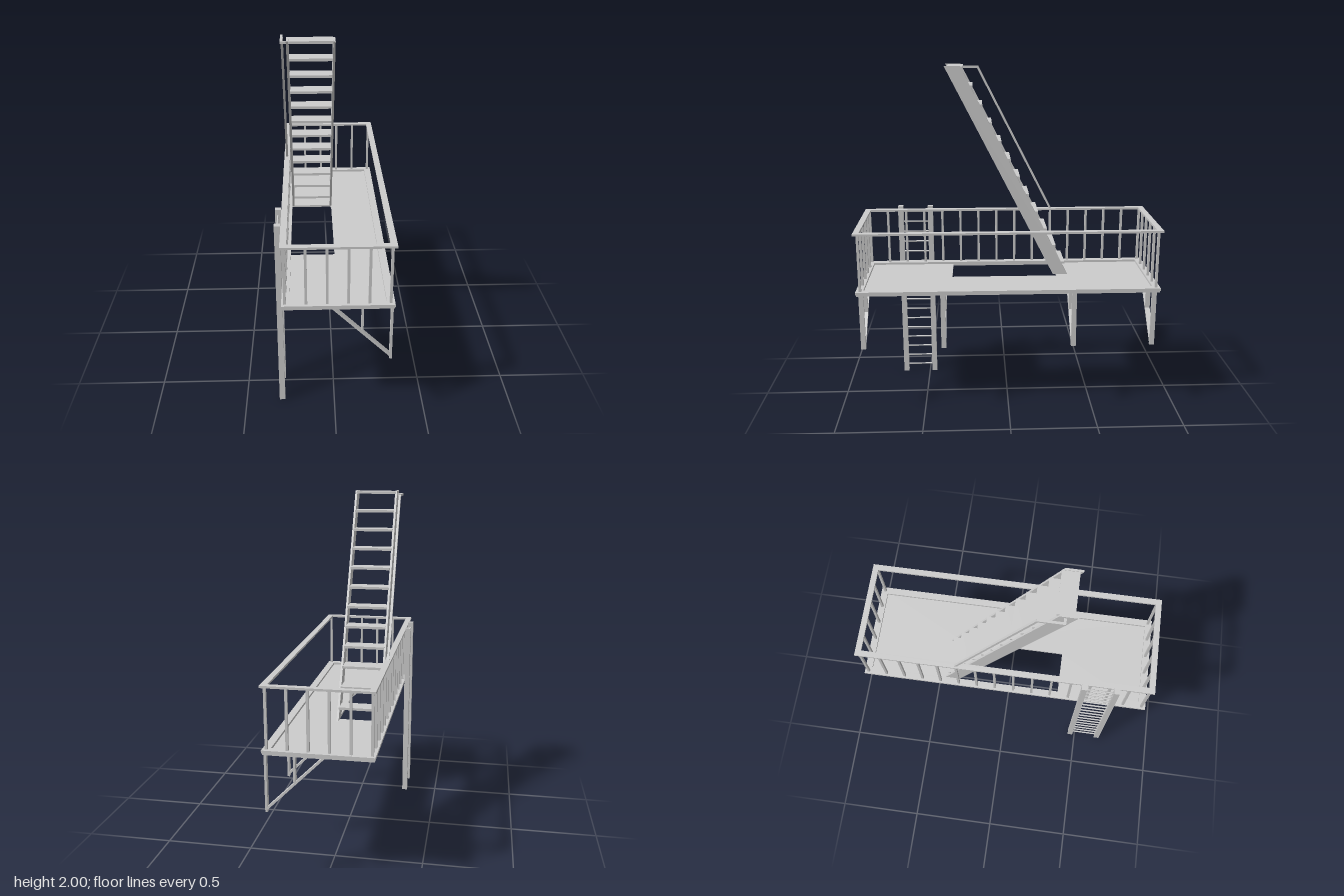
import * as THREE from 'three';

const material = new THREE.MeshStandardMaterial({ color: 0xcccccc });

function add(parent, name, geometry) {
  const mesh = new THREE.Mesh(geometry, material);
  mesh.name = name;
  parent.add(mesh);
  return mesh;
}

// Box given by its extents on each axis
function box(parent, name, [x0, x1], [y0, y1], [z0, z1]) {
  const mesh = add(parent, name, new THREE.BoxGeometry(x1 - x0, y1 - y0, z1 - z0));
  mesh.position.set((x0 + x1) / 2, (y0 + y1) / 2, (z0 + z1) / 2);
  return mesh;
}

// Straight bar between two points
function bar(parent, name, from, to, width, height) {
  const a = new THREE.Vector3(...from), b = new THREE.Vector3(...to);
  const mesh = add(parent, name, new THREE.BoxGeometry(width, height, a.distanceTo(b)));
  mesh.position.copy(a).add(b).multiplyScalar(0.5);
  mesh.lookAt(b);
  return mesh;
}

function group(parent, name) {
  const g = new THREE.Group();
  g.name = name;
  parent.add(g);
  return g;
}

const X0 = -0.28, X1 = 0.305, Z = 0.87;

// Rectangular ring of flat bars around the platform edge
function ring(parent, name, y, w) {
  box(parent, name, [X0, X0 + w], y, [-Z, Z]);
  box(parent, name, [X1 - w, X1], y, [-Z, Z]);
  for (const s of [-1, 1]) {
    const z = [s * Z, s * (Z - w)].sort((a, b) => a - b);
    box(parent, name, [X0 + w, X1 - w], y, z);
  }
}

function rectangle(target, x0, x1, y0, y1) {
  target.moveTo(x0, y0).lineTo(x1, y0).lineTo(x1, y1).lineTo(x0, y1).closePath();
  return target;
}

export function createModel() {
  const model = new THREE.Group();
  model.name = 'fireEscape';

  // Platform floor with the stairwell opening
  const platform = group(model, 'platform');
  const floor = rectangle(new THREE.Shape(), X0 + 0.004, X1 - 0.004, -Z + 0.004, Z - 0.004);
  floor.holes.push(rectangle(new THREE.Path(), -0.238, 0.012, -0.33, 0.3));
  const slab = new THREE.ExtrudeGeometry(floor, { depth: 0.012, bevelEnabled: false });
  add(platform, 'floor', slab.rotateX(-Math.PI / 2)).position.y = 0.745;
  ring(platform, 'floorFrame', [0.755, 0.77], 0.042);

  // Railing: top rail all round, balusters on three sides
  const railing = group(model, 'railing');
  ring(railing, 'topRail', [1.1, 1.112], 0.034);
  const baluster = (x, z) =>
    box(railing, 'baluster', [x - 0.007, x + 0.007], [0.765, 1.102], [z - 0.007, z + 0.007]);
  for (let i = 0; i < 16; i++) baluster(-0.262, -0.845 + i * 1.69 / 15);
  for (let i = 1; i < 6; i++)
    for (const z of [-0.845, 0.845]) baluster(-0.262 + i * 0.109, z);

  // Triangular wall brackets
  for (const z of [0.84, 0.378, -0.375, -0.835]) {
    const bracket = group(model, 'bracket');
    const depth = [z - 0.014, z + 0.014];
    box(bracket, 'bracketPost', [0.285, 0.298], [0.42, 0.745], depth);
    box(bracket, 'bracketTop', [-0.02, 0.298], [0.737, 0.746], depth);
    box(bracket, 'bracketStrut', [0.133, 0.145], [0.585, 0.745], depth);
    bar(bracket, 'bracketDiagonal', [-0.015, 0.742, z], [0.292, 0.435, z], 0.028, 0.012);
  }

  // Vertical access ladder
  const ladder = group(model, 'ladder');
  for (const z of [0.47, 0.655])
    box(ladder, 'ladderRail', [-0.313, -0.281], [0, 1.125], [z - 0.016, z + 0.016]);
  for (let i = 0; i < 17; i++) {
    const rung = add(ladder, 'rung', new THREE.CylinderGeometry(0.005, 0.005, 0.17, 8));
    rung.rotation.x = Math.PI / 2;
    rung.position.set(-0.297, 0.045 + i * 0.0653, 0.5625);
  }

  // Inclined stair: two stringers and twelve treads
  const stair = group(model, 'stair');
  const profile = new THREE.Shape();
  profile.moveTo(-0.365, 0.765).lineTo(-0.278, 0.765).lineTo(0.355, 2).lineTo(0.265, 2).closePath();
  for (const x of [-0.224, 0.014]) {
    const side = new THREE.ExtrudeGeometry(profile, { depth: 0.012, bevelEnabled: false });
    add(stair, 'stringer', side.rotateY(-Math.PI / 2)).position.x = x;
  }
  for (let i = 0; i < 12; i++) {
    const y = 0.835 + i * 0.105, z = -0.347 + i * 0.0542;
    box(stair, 'tread', [-0.226, 0.004], [y - 0.007, y + 0.007], [z, z + 0.09]);
  }

  // Stair handrail, returned to the stringer at the top
  const handrail = group(model, 'handrail');
  bar(handrail, 'handrailSlope', [-0.263, 1.106, -0.283], [-0.263, 1.98, 0.165], 0.013, 0.013);
  bar(handrail, 'handrailTop', [-0.263, 1.98, 0.16], [-0.263, 1.98, 0.3], 0.013, 0.013);
  bar(handrail, 'handrailReturn', [-0.265, 1.98, 0.294], [-0.23, 1.98, 0.294], 0.013, 0.013);

  return model;
}
